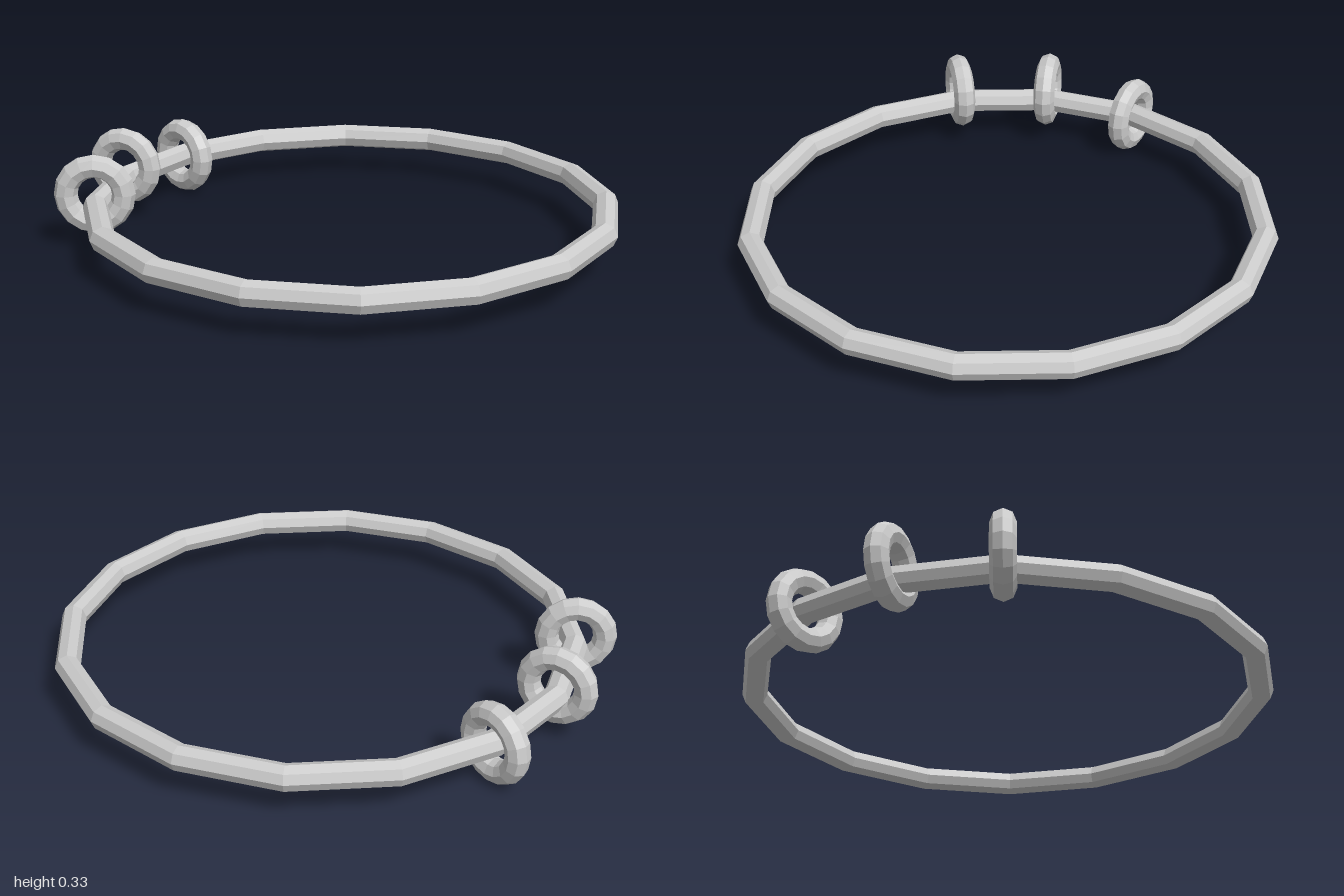
import * as THREE from 'three';

const RING_RADIUS = 0.903;
const RING_CENTRE = new THREE.Vector3(0, 0.147, 0.05);

export function createModel() {
  const model = new THREE.Group();
  model.name = 'ringWithLoops';
  const material = new THREE.MeshStandardMaterial({ color: 0xcccccc, flatShading: true });

  // Large ring lying flat
  const ringGeometry = new THREE.TorusGeometry(RING_RADIUS, 0.045, 8, 16);
  ringGeometry.rotateX(Math.PI / 2);
  const ring = new THREE.Mesh(ringGeometry, material);
  ring.name = 'mainRing';
  ring.position.copy(RING_CENTRE);
  model.add(ring);

  // Small loops threaded on the back, one per ring corner; two sit higher
  const loopGeometry = new THREE.TorusGeometry(0.102, 0.042, 8, 16);
  [0, 0.047, 0.047].forEach((lift, i) => {
    const angle = (i * Math.PI) / 8;
    const loop = new THREE.Mesh(loopGeometry, material);
    loop.name = `smallLoop${i + 1}`;
    loop.position.set(-Math.sin(angle) * RING_RADIUS, lift, -Math.cos(angle) * RING_RADIUS).add(RING_CENTRE);
    loop.rotation.y = Math.PI / 2 + angle;
    model.add(loop);
  });

  return model;
}
